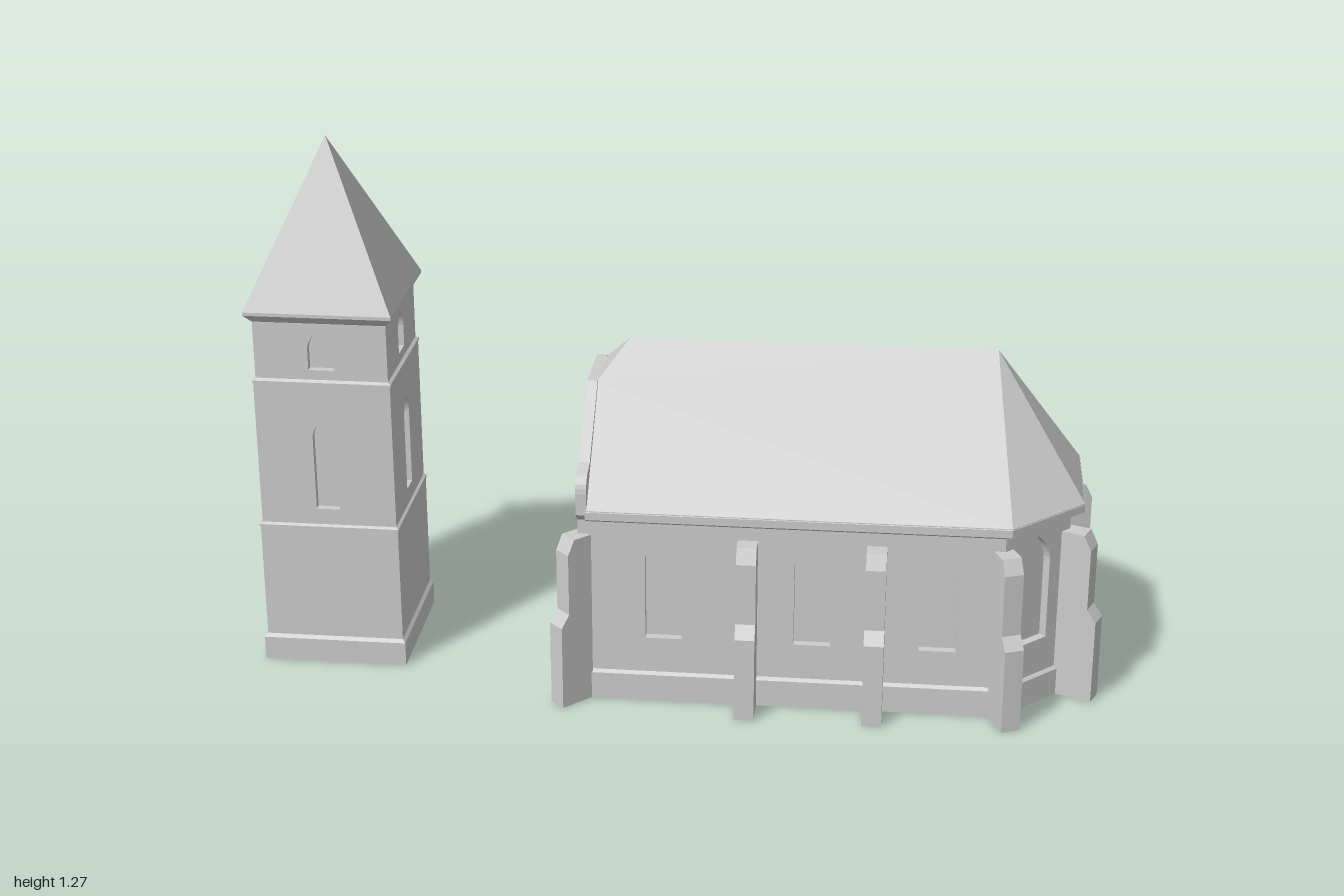
import * as THREE from 'three';
import { ConvexGeometry } from 'three/addons/geometries/ConvexGeometry.js';

const stone = new THREE.MeshStandardMaterial({ color: 0xcccccc });
stone.name = 'pale stone';

function add(parent, name, geometry) {
  const mesh = new THREE.Mesh(geometry, stone);
  mesh.name = name;
  parent.add(mesh);
  return mesh;
}

// Outward unit normal of the plan edge a -> b
function edgeNormal(a, b) {
  return new THREE.Vector2(b[1] - a[1], a[0] - b[0]).normalize();
}

// Grow a plan outline evenly by d
function offset(plan, d) {
  const n = plan.length;
  return plan.map((p, i) => {
    const n1 = edgeNormal(plan[(i + n - 1) % n], p);
    const n2 = edgeNormal(p, plan[(i + 1) % n]);
    const k = d / (1 + n1.dot(n2));
    return [p[0] + (n1.x + n2.x) * k, p[1] + (n1.y + n2.y) * k];
  });
}

// Closed, flat-shaded solid through plan outlines at given heights
function loft(levels) {
  const pos = [];
  const rings = levels.map(([y, plan]) => plan.map(([x, z]) => [x, y, z]));
  const tri = (a, b, c) => pos.push(...a, ...b, ...c);
  const n = rings[0].length;
  const top = rings[rings.length - 1];
  for (let r = 0; r < rings.length - 1; r++) {
    for (let i = 0; i < n; i++) {
      const j = (i + 1) % n, lo = rings[r], hi = rings[r + 1];
      tri(lo[i], hi[i], hi[j]);
      tri(lo[i], hi[j], lo[j]);
    }
  }
  for (let i = 1; i < n - 1; i++) {
    tri(rings[0][0], rings[0][i], rings[0][i + 1]);
    tri(top[0], top[i + 1], top[i]);
  }
  const g = new THREE.BufferGeometry();
  g.setAttribute('position', new THREE.Float32BufferAttribute(pos, 3));
  g.computeVertexNormals();
  return g;
}

// Pointed-arch outline, drawn on a Shape or Path
function lancet(target, u, w, y0, y1) {
  const h = w / 2, spring = y1 - w * 0.8, bend = y1 - w * 0.32;
  target.moveTo(u - h, y0);
  target.lineTo(u + h, y0);
  target.lineTo(u + h, spring);
  target.quadraticCurveTo(u + h * 0.85, bend, u, y1);
  target.quadraticCurveTo(u - h * 0.85, bend, u - h, spring);
  target.closePath();
  return target;
}

function slab(shape, depth) {
  return new THREE.ExtrudeGeometry(shape, { depth, bevelEnabled: false, curveSegments: 6 })
    .translate(0, 0, -depth);
}

// Wall skin on plan edge a -> b, pierced by windows [u, width, y0, y1]
function wallPanel(parent, name, a, b, y0, y1, windows, depth = 0.02) {
  const n = edgeNormal(a, b);
  const half = Math.hypot(b[0] - a[0], b[1] - a[1]) / 2;
  const shape = new THREE.Shape([[-half, y0], [half, y0], [half, y1], [-half, y1]]
    .map(p => new THREE.Vector2(...p)));
  windows.forEach(w => shape.holes.push(lancet(new THREE.Path(), ...w)));
  const mesh = add(parent, name, slab(shape, depth));
  mesh.position.set((a[0] + b[0]) / 2, 0, (a[1] + b[1]) / 2);
  mesh.rotation.y = Math.atan2(n.x, n.y);
}

// Stepped surround inside an opening
function archFrame(w, y0, y1, band, depth) {
  const s = lancet(new THREE.Shape(), 0, w, y0, y1);
  s.holes.push(lancet(new THREE.Path(), 0, w - 2 * band, y0 + band * 0.4, y1 - band * 1.3));
  return slab(s, depth);
}

const square = h => [[-h, -h], [h, -h], [h, h], [-h, h]];

function buildTower() {
  const tower = new THREE.Group();
  tower.name = 'bellTower';
  add(tower, 'towerPlinth', loft([[0, square(0.173)], [0.058, square(0.173)], [0.066, square(0.166)]]));
  // Stages: half width, bottom, top, window
  const stages = [
    ['lowerStage', 0.166, 0.06, 0.355, null],
    ['middleStage', 0.162, 0.355, 0.72, [0, 0.056, 0.4, 0.63]],
    ['belfry', 0.157, 0.72, 0.875, [0, 0.06, 0.75, 0.85]],
  ];
  for (const [name, h, y0, y1, win] of stages) {
    const plan = square(h);
    add(tower, name + 'Core', loft([[y0, square(h - 0.018)], [y1, square(h - 0.018)]]));
    for (let i = 0; i < 4; i++) {
      const west = i === 3;
      const openings = win ? [win] : west ? [[0, 0.085, 0.066, 0.29]] : [];
      wallPanel(tower, name + 'Wall', plan[i], plan[(i + 1) % 4], y0, y1, openings);
    }
  }
  const frame = add(tower, 'towerDoorFrame', archFrame(0.085, 0.066, 0.29, 0.016, 0.012));
  frame.position.x = -0.158;
  frame.rotation.y = -Math.PI / 2;
  // String courses between the stages
  for (const [y, h] of [[0.35, 0.168], [0.715, 0.164]]) {
    add(tower, 'stringCourse', loft([[y, square(h)], [y + 0.006, square(h)], [y + 0.012, square(h - 0.008)]]));
  }
  add(tower, 'towerEaves', loft([[0.865, square(0.157)], [0.884, square(0.1735)], [0.892, square(0.1735)]]));
  const eave = square(0.1735).map(([x, z]) => new THREE.Vector3(x, 0.892, z));
  add(tower, 'spire', new ConvexGeometry([...eave, new THREE.Vector3(0, 1.27, 0)]));
  tower.position.set(-0.8265, 0, -0.005);
  return tower;
}

function buildGable(church) {
  const s = new THREE.Shape();
  s.moveTo(-0.275, 0.02);
  s.lineTo(0.275, 0.02);
  s.lineTo(0.275, 0.455);
  s.lineTo(0.302, 0.478);
  s.lineTo(0.302, 0.53);
  s.quadraticCurveTo(0.3, 0.57, 0.262, 0.574);
  s.lineTo(0.236, 0.582);
  s.lineTo(0.088, 0.725);
  s.lineTo(-0.088, 0.725);
  s.lineTo(-0.236, 0.582);
  s.lineTo(-0.262, 0.574);
  s.quadraticCurveTo(-0.3, 0.57, -0.302, 0.53);
  s.lineTo(-0.302, 0.478);
  s.lineTo(-0.275, 0.455);
  s.closePath();
  const door = [0.12, 0.073, 0.28], window = [0.075, 0.3, 0.42], vent = [0.04, 0.51, 0.58];
  for (const o of [door, window, vent]) s.holes.push(lancet(new THREE.Path(), 0, ...o));
  const west = new THREE.Group();
  west.name = 'westFront';
  add(west, 'gableWall', slab(s, 0.025));
  add(west, 'doorFrame', archFrame(...door, 0.02, 0.012)).position.z = -0.01;
  add(west, 'gableWindowFrame', archFrame(...window, 0.014, 0.012)).position.z = -0.01;
  west.position.x = -0.213;
  west.rotation.y = -Math.PI / 2;
  church.add(west);
}

function buildChurch() {
  const church = new THREE.Group();
  church.name = 'church';
  const plan = [[-0.21, -0.275], [0.765, -0.275], [0.915, -0.13],
    [0.915, 0.13], [0.765, 0.275], [-0.21, 0.275]];
  add(church, 'plinth', loft([[0, offset(plan, 0.007)], [0.066, offset(plan, 0.007)], [0.073, plan]]));
  add(church, 'wallCore', loft([[0.05, offset(plan, -0.02)], [0.47, offset(plan, -0.02)]]));

  // Pierced walls: nave sides and the three apse faces
  const naveX = [-0.015, 0.33, 0.62], mid = 0.2775;
  const openings = [
    naveX.map(x => [mid - x, 0.085, 0.16, 0.43]),
    [[0, 0.085, 0.16, 0.43]],
    [[0, 0.085, 0.16, 0.43]],
    [[0, 0.085, 0.16, 0.43]],
    naveX.map(x => [x - mid, 0.085, 0.16, 0.43]),
  ];
  openings.forEach((wins, i) => wallPanel(church, i % 4 ? 'apseWall' : 'naveWall',
    plan[i], plan[i + 1], 0.05, 0.47, wins, 0.022));
  buildGable(church);

  // Eaves and roof stop behind the west gable
  const eave = d => offset(plan, d).map(([x, z]) => [Math.max(x, -0.192), z]);
  add(church, 'cornice', loft([[0.452, eave(0)], [0.464, eave(0.022)], [0.468, eave(0.03)], [0.49, eave(0.03)]]));
  const roof = eave(0.031).map(([x, z]) => new THREE.Vector3(x, 0.487, z));
  roof.push(new THREE.Vector3(-0.192, 0.72, 0.0818), new THREE.Vector3(-0.192, 0.72, -0.0818),
    new THREE.Vector3(-0.12, 0.805, 0), new THREE.Vector3(0.735, 0.805, 0));
  add(church, 'roof', new ConvexGeometry(roof));

  // Stepped buttresses: x, z, outward angle in degrees, depth (mirrored in z)
  const spots = [[-0.205, 0.27, 135, 0.078], [0.18, 0.27, 90, 0.085], [0.475, 0.27, 90, 0.085],
    [0.76, 0.265, 67.5, 0.088], [0.905, 0.128, 22.5, 0.094]];
  for (const [x, z, deg, d] of spots) {
    const profile = [[-0.01, 0], [d, 0], [d, 0.205], [d - 0.022, 0.235], [d - 0.022, 0.385],
      [d - 0.04, 0.42], [-0.01, 0.42]];
    const shape = new THREE.Shape(profile.map(p => new THREE.Vector2(...p)));
    const geometry = slab(shape, 0.046).translate(0, 0, 0.023);
    for (const side of [1, -1]) {
      const b = add(church, 'buttress', geometry);
      b.position.set(x, 0, z * side);
      b.rotation.y = -side * THREE.MathUtils.degToRad(deg);
    }
  }
  return church;
}

export function createModel() {
  const model = new THREE.Group();
  model.name = 'churchWithBellTower';
  model.add(buildTower(), buildChurch());
  return model;
}
